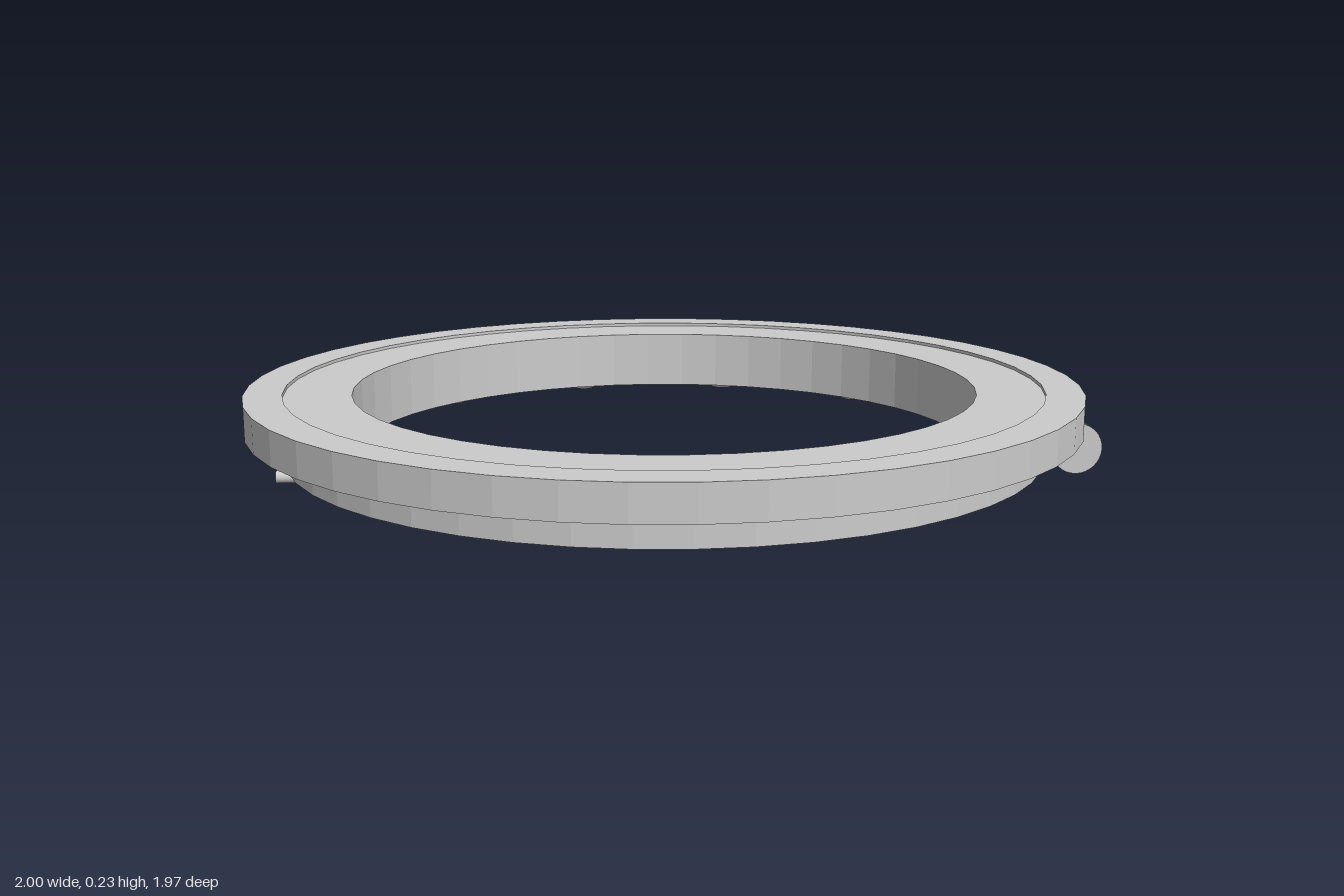
import * as THREE from 'three';

const material = new THREE.MeshStandardMaterial({ color: 0xcccccc });
const facetedMaterial = new THREE.MeshStandardMaterial({ color: 0xcccccc, flatShading: true });

// Solid ring with a rectangular section
function ring(name, inner, outer, bottom, top) {
  const profile = [[inner, bottom], [outer, bottom], [outer, top], [inner, top], [inner, bottom]]
    .map(([r, y]) => new THREE.Vector2(r, y));
  const mesh = new THREE.Mesh(new THREE.LatheGeometry(profile, 48), facetedMaterial);
  mesh.name = name;
  return mesh;
}

function rod(name, radius, length, x, y, z, axis = 'y') {
  const geometry = new THREE.CylinderGeometry(radius, radius, length, 32);
  if (axis === 'x') geometry.rotateZ(Math.PI / 2);
  if (axis === 'z') geometry.rotateX(Math.PI / 2);
  const mesh = new THREE.Mesh(geometry, material);
  mesh.name = name;
  mesh.position.set(x, y, z);
  return mesh;
}

export function createModel() {
  const model = new THREE.Group();
  model.name = 'hingedPorthole';

  // Frame: stepped pair of rings with rivets underneath
  const frame = new THREE.Group();
  frame.name = 'frame';
  frame.position.x = -0.017;
  frame.add(ring('outerRing', 0.894, 0.983, 0.155, 0.235));
  frame.add(ring('innerRing', 0.737, 0.895, 0.082, 0.227));

  const rivetGeometry = new THREE.SphereGeometry(0.045, 20, 12);
  rivetGeometry.scale(1, 0.45, 1);
  for (const degrees of [18, 46, 74.5, 103, 132, 162, 198, 228, 257.5, 290, 320, 346.5]) {
    const angle = THREE.MathUtils.degToRad(degrees);
    const rivet = new THREE.Mesh(rivetGeometry, material);
    rivet.name = 'rivet';
    rivet.position.set(0.813 * Math.cos(angle), 0.082, -0.813 * Math.sin(angle));
    frame.add(rivet);
  }
  model.add(frame);

  // Hinge: two barrels on a slimmer middle barrel
  const hinge = new THREE.Group();
  hinge.name = 'hinge';
  hinge.add(rod('frontBarrel', 0.06, 0.165, 0.94, 0.095, 0.107, 'z'));
  hinge.add(rod('backBarrel', 0.06, 0.16, 0.94, 0.095, -0.127, 'z'));
  hinge.add(rod('middleBarrel', 0.051, 0.08, 0.94, 0.095, -0.011, 'z'));
  model.add(hinge);

  // Latch: round boss, stem and T handle
  const latch = new THREE.Group();
  latch.name = 'latch';
  latch.add(rod('latchBoss', 0.105, 0.08, -0.88, 0.116, 0.015));
  latch.add(rod('latchStem', 0.013, 0.07, -0.875, 0.05, 0.015));
  latch.add(rod('latchHandle', 0.015, 0.135, -0.877, 0.015, 0.015, 'x'));
  model.add(latch);

  return model;
}
